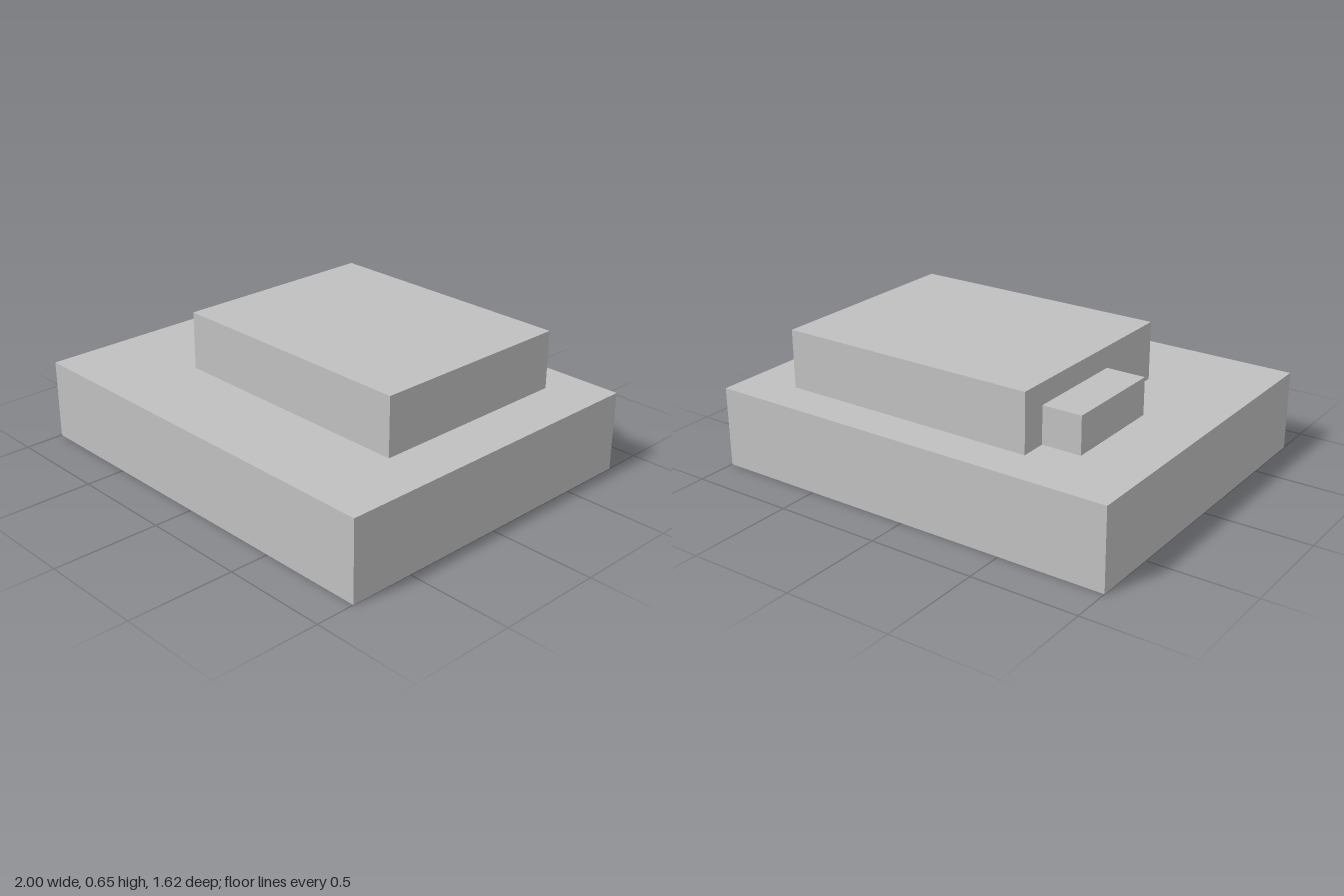
import * as THREE from 'three';

// Box shell without a floor, given by its extents on each axis
function openBox(name, material, [x0, x1], [y0, y1], [z0, z1]) {
  const geometry = new THREE.BoxGeometry(x1 - x0, y1 - y0, z1 - z0);
  const index = Array.from(geometry.index.array);
  index.splice(18, 6); // drop the bottom face
  geometry.setIndex(index);
  geometry.clearGroups();
  geometry.translate((x0 + x1) / 2, (y0 + y1) / 2, (z0 + z1) / 2);
  const mesh = new THREE.Mesh(geometry, material);
  mesh.name = name;
  return mesh;
}

export function createModel() {
  const group = new THREE.Group();
  group.name = 'steppedBlocks';
  const grey = new THREE.MeshStandardMaterial({ color: 0xc0c0c0, side: THREE.DoubleSide });
  grey.name = 'grey';

  group.add(
    // wide hollow base, open underneath
    openBox('base', grey, [-1, 1], [0, 0.378], [-0.8125, 0.8125]),
    // large upper storey
    openBox('upperBlock', grey, [-0.5, 0.75], [0.378, 0.653], [-0.625, 0.375]),
    // low annex against its side
    openBox('sideBlock', grey, [-0.6875, -0.5], [0.378, 0.553], [-0.5, 0]),
  );
  return group;
}
